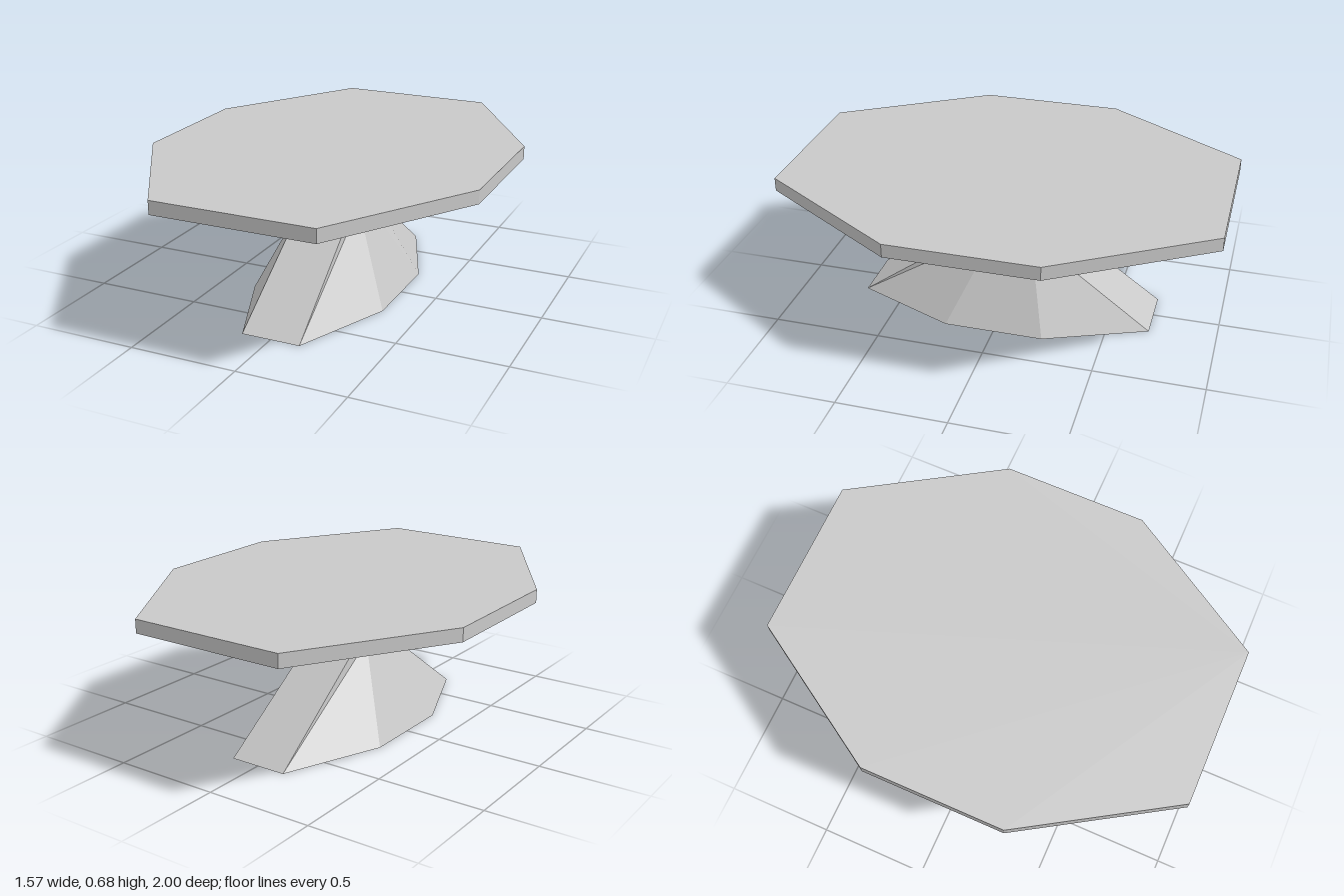
import * as THREE from 'three';

// Stretched octagon: front/back edges at z = ±hz, side edges at x = ±hx
const octagon = (y, hx, hz, frontX, sideZ) => [
  [frontX, hz], [hx, sideZ], [hx, -sideZ], [frontX, -hz],
  [-frontX, -hz], [-hx, -sideZ], [-hx, sideZ], [-frontX, hz],
].map(([x, z]) => new THREE.Vector3(x, y, z));

// Joins rings from bottom to top with flat facets; optional end caps
function loft(rings, capBottom, capTop) {
  const points = [];
  for (let r = 0; r < rings.length - 1; r++) {
    const lower = rings[r], upper = rings[r + 1], n = lower.length;
    for (let i = 0; i < n; i++) {
      const j = (i + 1) % n;
      points.push(lower[i], lower[j], upper[j], lower[i], upper[j], upper[i]);
    }
  }
  const bottom = rings[0], top = rings[rings.length - 1];
  for (let i = 1; i < bottom.length - 1; i++) {
    if (capBottom) points.push(bottom[0], bottom[i + 1], bottom[i]);
    if (capTop) points.push(top[0], top[i], top[i + 1]);
  }
  const geometry = new THREE.BufferGeometry().setFromPoints(points);
  geometry.computeVertexNormals();
  return geometry;
}

export function createModel() {
  const model = new THREE.Group();
  model.name = 'pedestalTable';
  const grey = new THREE.MeshStandardMaterial({ color: 0xc8c8c8, flatShading: true });
  grey.name = 'grey';

  const add = (name, geometry) => {
    const mesh = new THREE.Mesh(geometry, grey);
    mesh.name = name;
    model.add(mesh);
  };

  const foot = octagon(0, 0.328, 0.693, 0.138, 0.23);
  const neck = octagon(0.41, 0.125, 0.125, 0.124, 0.041);
  const rimLower = octagon(0.618, 0.787, 1, 0.371, 0.333);
  const rimUpper = octagon(0.68, 0.787, 1, 0.371, 0.333);

  add('pedestal', loft([foot, neck], true, false)); // flared foot up to the neck
  add('underside', loft([neck, rimLower], false, false)); // tapered underside of the top
  add('tabletop', loft([rimLower, rimUpper], false, true)); // straight rim and flat top
  return model;
}
